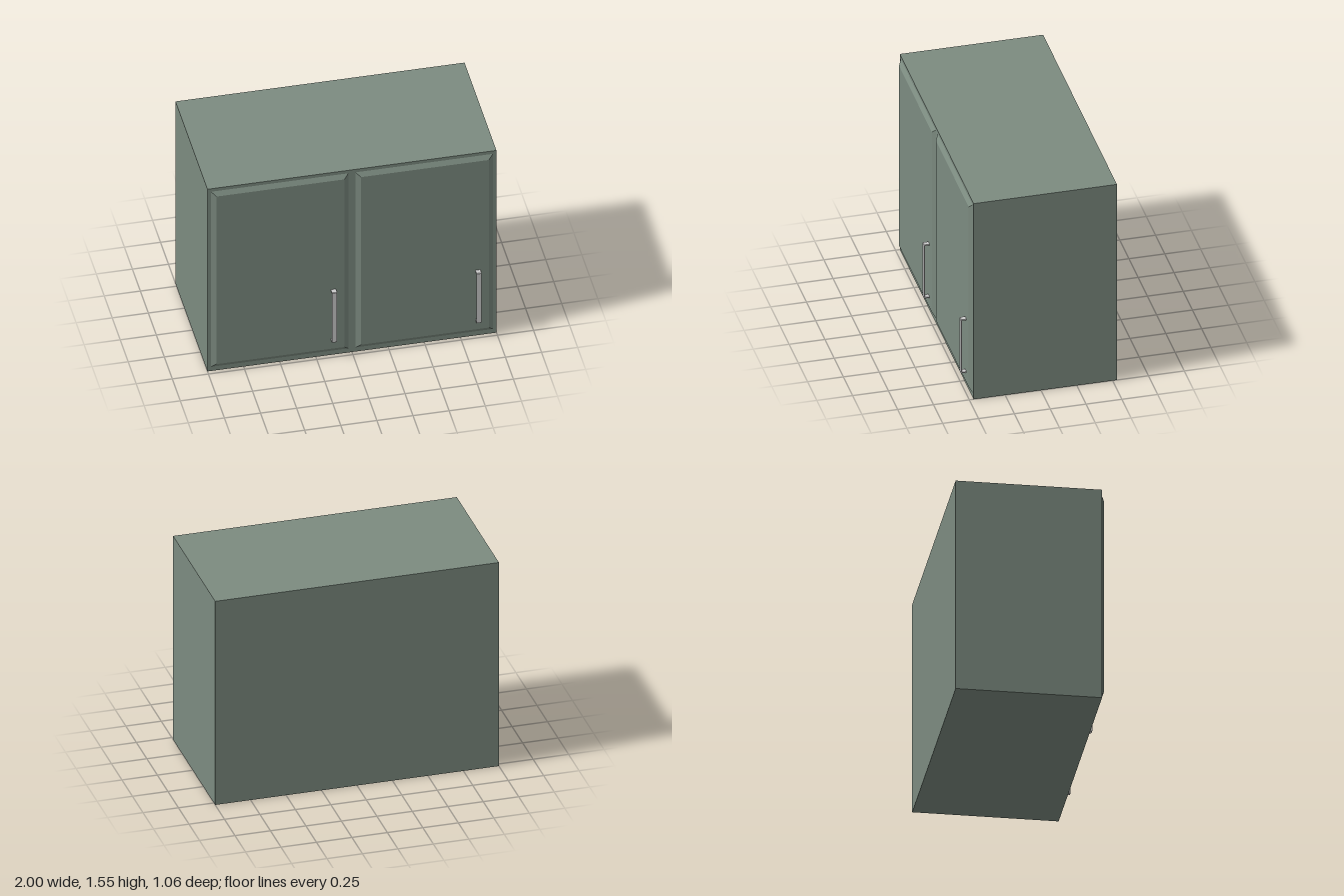
import * as THREE from 'three';

const HEIGHT = 1.55, BACK = -0.53, FRONT = 0.47, DOOR_FRONT = 0.49;

const paint = new THREE.MeshStandardMaterial({ color: 0x7c8b80, flatShading: true });
const metal = new THREE.MeshStandardMaterial({ color: 0xcccccc, flatShading: true });

// Box whose front face is inset on all sides, giving a bevelled panel
function bevelledPanel(width, height, depth, inset) {
  const geometry = new THREE.BoxGeometry(width, height, depth);
  const pos = geometry.attributes.position;
  for (let i = 0; i < pos.count; i++) {
    if (pos.getZ(i) > 0) {
      pos.setX(i, pos.getX(i) - Math.sign(pos.getX(i)) * inset);
      pos.setY(i, pos.getY(i) - Math.sign(pos.getY(i)) * inset);
    }
  }
  geometry.computeVertexNormals();
  return geometry;
}

// Flat strip bent into a U with clipped corners, swept across its width
function handleGeometry(width, height, reach, thickness) {
  const h = height / 2, t = thickness, c = 0.004;
  const profile = new THREE.Shape([
    [0, -h], [reach - c, -h], [reach, -h + c], [reach, h - c], [reach - c, h], [0, h],
    [0, h - t], [reach - t, h - t], [reach - t, -h + t], [0, -h + t],
  ].map(([z, y]) => new THREE.Vector2(z, y)));
  const geometry = new THREE.ExtrudeGeometry(profile, { depth: width, bevelEnabled: false });
  geometry.translate(0, 0, -width / 2);
  geometry.rotateY(-Math.PI / 2);
  return geometry;
}

export function createModel() {
  const group = new THREE.Group();
  group.name = 'wallCabinet';

  const add = (name, geometry, material, x, y, z) => {
    const mesh = new THREE.Mesh(geometry, material);
    mesh.name = name;
    mesh.position.set(x, y, z);
    group.add(mesh);
  };

  // Cabinet body
  add('cabinetBody', new THREE.BoxGeometry(2, HEIGHT, FRONT - BACK), paint,
    0, HEIGHT / 2, (FRONT + BACK) / 2);

  // Two matching doors, each with its handle at the lower +x corner
  const door = bevelledPanel(0.95, 1.49, DOOR_FRONT - FRONT, 0.032);
  const handle = handleGeometry(0.035, 0.425, 0.04, 0.009);
  for (const [side, x] of [['right', -0.5], ['left', 0.5]]) {
    add(side + 'Door', door, paint, x, 0.78, (FRONT + DOOR_FRONT) / 2);
    add(side + 'Handle', handle, metal, x + 0.367, 0.358, DOOR_FRONT);
  }
  return group;
}
